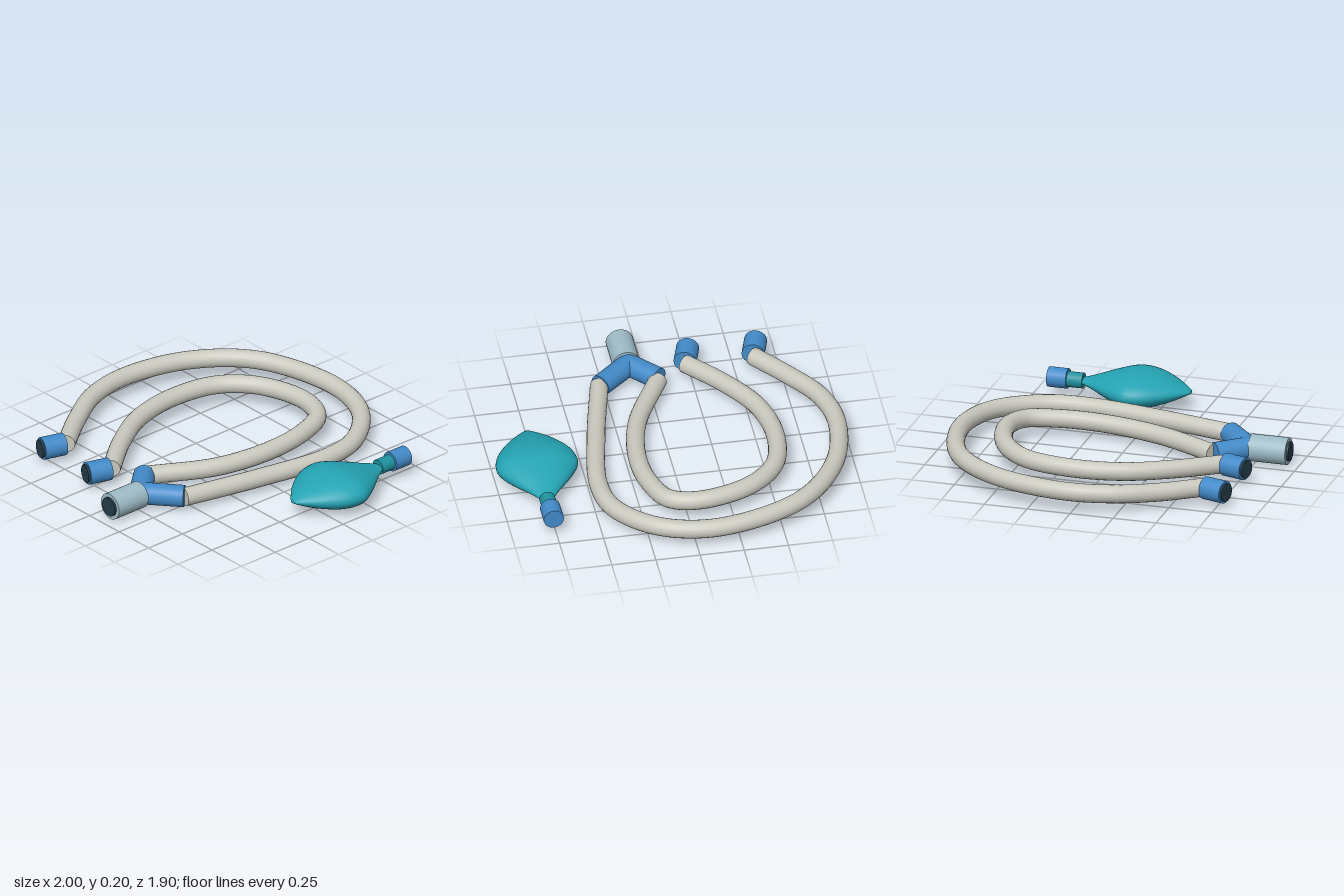
import * as THREE from 'three';

const mat = (name, color, side = THREE.FrontSide) => {
  const m = new THREE.MeshStandardMaterial({ color, side });
  m.name = name;
  return m;
};

export function createModel() {
  const group = new THREE.Group();
  const hoseGrey = mat('hose grey', 0xc9c8be);
  const blue = mat('connector blue', 0x428ac8);
  const clear = mat('pale sleeve', 0x9dbbc6);
  const dark = mat('dark bore', 0x233c4a);
  const teal = mat('bag teal', 0x24a3b3);
  const neckTeal = mat('neck teal', 0x1e929e);
  const v = (x, y, z) => new THREE.Vector3(x, y, z);

  const add = (name, geometry, material, parent = group) => {
    const mesh = new THREE.Mesh(geometry, material);
    mesh.name = name;
    parent.add(mesh);
    return mesh;
  };

  // Capped cylinder running between two points
  const rod = (name, a, b, radius, material) => {
    const dir = b.clone().sub(a);
    const mesh = add(name, new THREE.CylinderGeometry(radius, radius, dir.length(), 32), material);
    mesh.position.copy(a).add(b).multiplyScalar(0.5);
    mesh.quaternion.setFromUnitVectors(v(0, 1, 0), dir.normalize());
    return mesh;
  };

  // Flexible hose with closed ends
  const hose = (name, points) => {
    const curve = new THREE.CatmullRomCurve3(points.map((p) => v(...p)));
    add(name, new THREE.TubeGeometry(curve, 120, 0.052, 20), hoseGrey);
    for (const t of [0, 1]) {
      const cap = add(name + 'End', new THREE.CircleGeometry(0.052, 20), hoseGrey);
      cap.position.copy(curve.getPoint(t));
      const out = curve.getTangent(t).multiplyScalar(t ? 1 : -1);
      cap.quaternion.setFromUnitVectors(v(0, 0, 1), out);
    }
  };
  hose('outerHose', [
    [-0.605, 0.09, 0.65], [-0.765, 0.095, 0.435], [-0.9, 0.108, 0.2], [-0.947, 0.115, -0.07],
    [-0.855, 0.12, -0.46], [-0.6, 0.12, -0.76], [-0.12, 0.108, -0.9], [0.2, 0.1, -0.82],
    [0.41, 0.085, -0.59], [0.455, 0.08, -0.36], [0.39, 0.08, 0.08], [0.285, 0.08, 0.55],
  ]);
  hose('innerHose', [
    [-0.22, 0.09, 0.65], [-0.4, 0.1, 0.42], [-0.54, 0.108, 0.17], [-0.588, 0.115, -0.12],
    [-0.53, 0.12, -0.4], [-0.35, 0.123, -0.575], [-0.06, 0.12, -0.648], [0.1, 0.11, -0.59],
    [0.175, 0.1, -0.42], [0.2, 0.09, -0.17], [0.14, 0.08, 0.17], [-0.045, 0.08, 0.54],
  ]);

  // Angled cuffs at the open hose ends
  const axis = v(-0.29, 0, 0.957);
  for (const [name, x] of [['outerCuff', -0.627], ['innerCuff', -0.242]]) {
    const c = v(x, 0.092, 0.73);
    const along = (d) => c.clone().addScaledVector(axis, d);
    rod(name, along(-0.067), along(0.067), 0.064, blue);
    rod(name + 'Bore', along(0.05), along(0.079), 0.052, dark);
  }

  // Y-shaped junction with its outlet sleeve
  rod('junctionLeftArm', v(0.09, 0.082, 0.71), v(0.28, 0.082, 0.545), 0.062, blue)
    .scale.set(1, 1, 1);
  rod('junctionRightArm', v(0.1, 0.082, 0.72), v(-0.052, 0.082, 0.552), 0.062, blue);
  rod('outletSleeve', v(0.1, 0.082, 0.72), v(0.1, 0.082, 0.937), 0.077, clear);
  rod('outletBore', v(0.1, 0.082, 0.9), v(0.1, 0.082, 0.949), 0.055, dark);

  // Flattened breathing bag: a smooth spindle, pointed at both ends
  const outline = new THREE.SplineCurve([
    [0.02, -0.165], [0.07, -0.122], [0.14, -0.05], [0.208, 0.05], [0.231, 0.14],
    [0.216, 0.205], [0.155, 0.3], [0.082, 0.395], [0.03, 0.475],
  ].map(([r, h]) => new THREE.Vector2(r, h)));
  const profile = [new THREE.Vector2(0, -0.165), ...outline.getPoints(32), new THREE.Vector2(0, 0.475)];
  const bag = add('bag', new THREE.LatheGeometry(profile, 40), teal);
  bag.rotation.x = -Math.PI / 2;
  bag.scale.z = 0.425;
  bag.position.set(0.766, 0.108, 0);

  // Bag neck and its collar
  rod('bagNeck', v(0.766, 0.107, -0.46), v(0.766, 0.107, -0.56), 0.044, neckTeal);
  rod('bagCollar', v(0.766, 0.11, -0.55), v(0.766, 0.11, -0.663), 0.057, blue);

  return group;
}
